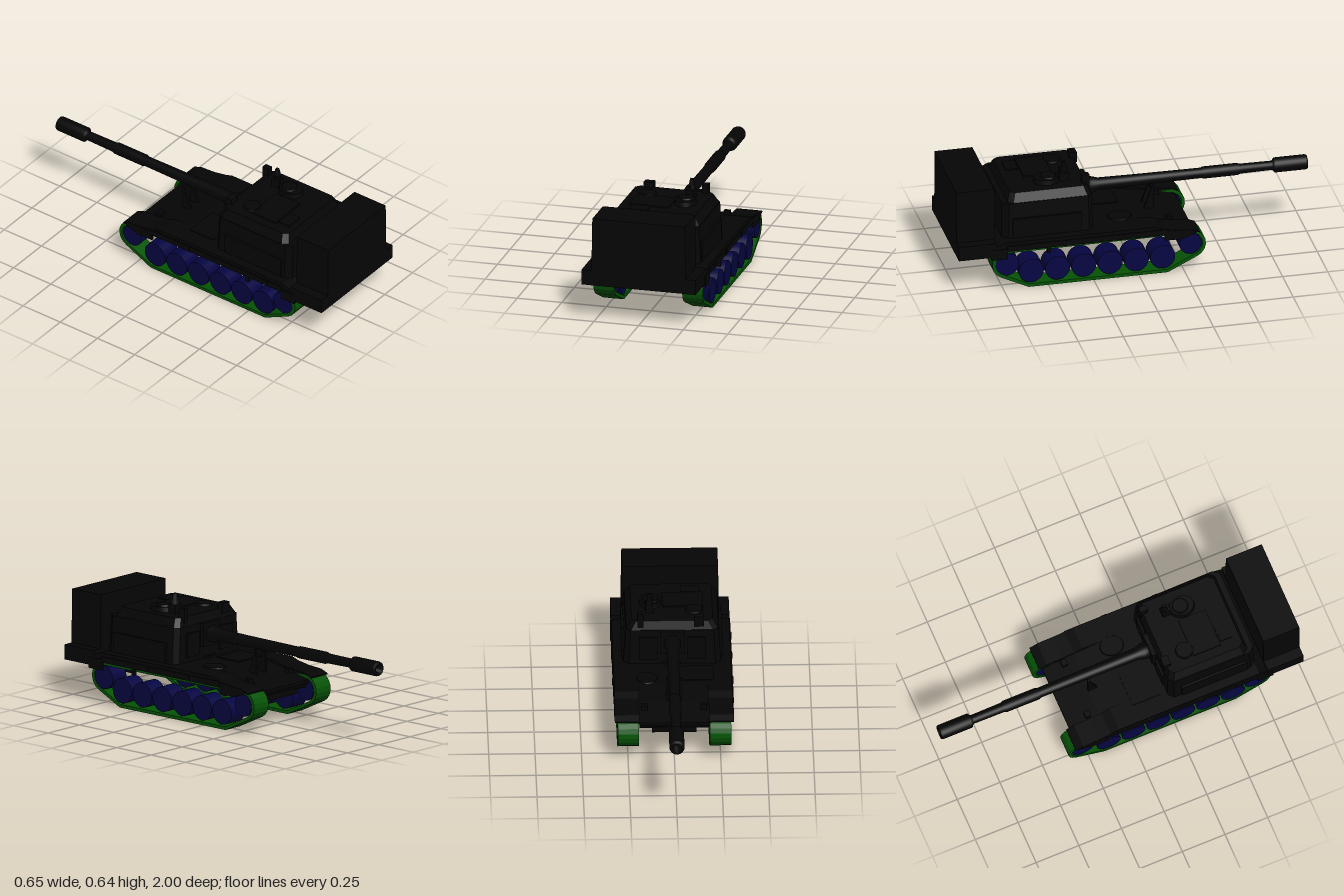
import * as THREE from 'three';

const mat = (name, color) => new THREE.MeshStandardMaterial({ name, color, side: THREE.DoubleSide });

export function createModel() {
  const armour = mat('black armour', 0x050505);
  const green = mat('track green', 0x055305);
  const blue = mat('wheel blue', 0x050542);
  const root = new THREE.Group();
  root.name = 'trackedGun';

  const add = (name, geo, m = armour, x = 0, y = 0, z = 0) => {
    const mesh = new THREE.Mesh(geo, m);
    mesh.name = name;
    mesh.position.set(x, y, z);
    root.add(mesh);
    return mesh;
  };
  const box = (name, w, h, d, x, y, z) => add(name, new THREE.BoxGeometry(w, h, d), armour, x, y, z);
  const points = (pts) => pts.map(([a, b]) => new THREE.Vector2(a, b));
  // side profile of [z, y] points, extruded across x
  const prism = (shape, width, x = 0) =>
    new THREE.ExtrudeGeometry(shape, { depth: width, bevelEnabled: false })
      .rotateY(-Math.PI / 2).translate(x + width / 2, 0, 0);
  const plate = (name, pts, width, x = 0) => add(name, prism(new THREE.Shape(points(pts)), width, x));
  // half plan of [x, z] points, mirrored and raised from y0 to y1, with the top drawn in
  const block = (half, y0, y1, taperX = 1, taperZ = 1, midZ = 0) => {
    const pts = [...half, ...half.slice().reverse().map(([x, z]) => [-x, z])].map(([x, z]) => [x, midZ - z]);
    const geo = new THREE.ExtrudeGeometry(new THREE.Shape(points(pts)), { depth: y1 - y0, bevelEnabled: false })
      .rotateX(-Math.PI / 2);
    const p = geo.attributes.position;
    for (let i = 0; i < p.count; i++) {
      const t = p.getY(i) / (y1 - y0);
      p.setXYZ(i, p.getX(i) * (1 + (taperX - 1) * t), p.getY(i) + y0, p.getZ(i) * (1 + (taperZ - 1) * t) + midZ);
    }
    geo.computeVertexNormals();
    return geo;
  };

  // Tracks: hollow belts rounded about the end wheels
  const beltLoop = (inset) => {
    const pts = [[-0.16 + inset * 0.25, inset], [0.61 - inset * 0.25, inset]];
    for (const [cz, cy, from, to] of [[0.728, 0.15, -63, 90], [-0.287, 0.155, 90, 243]])
      for (let i = 0; i <= 8; i++) {
        const a = THREE.MathUtils.degToRad(from + (to - from) * i / 8);
        pts.push([cz + (0.084 - inset) * Math.cos(a), cy + (0.084 - inset) * Math.sin(a)]);
      }
    return points(pts);
  };
  const wheels = [[0.728, 0.147, 0.065], [-0.286, 0.156, 0.061]];
  for (let i = 0; i < 6; i++) wheels.push([0.595 - i * 0.1455, 0.094, 0.069]);
  for (const s of [-1, 1]) {
    const belt = new THREE.Shape(beltLoop(0));
    belt.holes.push(new THREE.Path(beltLoop(0.018)));
    add('track', prism(belt, 0.115, s * 0.2485), green);
    for (const [z, y, r] of wheels)
      add('roadWheel', new THREE.CylinderGeometry(r, r, 0.109, 24).rotateZ(Math.PI / 2), blue, s * 0.2485, y, z);
  }

  // Hull: wide deck, sloping nose, shallow floor
  plate('hullDeck', [[0.79, 0.235], [0.79, 0.268], [0.74, 0.285], [0.02, 0.285], [0.02, 0.235]], 0.636);
  plate('glacis', [[0.02, 0.2], [0.02, 0.285], [-0.14, 0.258], [-0.315, 0.215], [-0.315, 0.2],
    [-0.29, 0.17], [-0.25, 0.165], [-0.2, 0.2]], 0.376);
  plate('hullFloor', [[0.77, 0.19], [0.77, 0.24], [0.02, 0.24], [0.02, 0.205], [0.68, 0.205]], 0.376);
  plate('rearBelly', [[0.78, 0.165], [0.78, 0.21], [0.66, 0.21], [0.69, 0.165]], 0.36);
  box('rearKeel', 0.25, 0.03, 0.07, 0, 0.16, 0.73);
  box('noseKeel', 0.24, 0.03, 0.06, 0, 0.165, -0.27);
  for (const s of [-1, 1]) {
    plate('frontSponson', [[0.02, 0.235], [0.02, 0.285], [-0.08, 0.285], [-0.14, 0.264], [-0.14, 0.235]], 0.132, s * 0.252);
    plate('frontFender', [[-0.13, 0.236], [-0.13, 0.268], [-0.2, 0.256], [-0.29, 0.25], [-0.335, 0.232],
      [-0.335, 0.226], [-0.3, 0.24]], 0.132, s * 0.254);
    plate('fenderSkirt', [[-0.14, 0.2], [-0.14, 0.255], [-0.28, 0.25], [-0.32, 0.232], [-0.24, 0.198]], 0.014, s * 0.315);
    box('rearSkirt', 0.02, 0.06, 0.09, s * 0.314, 0.22, 0.775);
    box('sideRail', 0.012, 0.032, 0.86, s * 0.318, 0.25, 0.3);
    for (const z of [0.62, 0.4, 0.1]) box('sideBracket', 0.012, 0.03, 0.03, s * 0.321, 0.25, z);
    box('sideStep', 0.02, 0.04, 0.02, s * 0.312, 0.22, 0.5);
    box('headlamp', 0.035, 0.03, 0.03, s * 0.16, 0.252, -0.2);
  }
  // Deck fittings
  const driver = add('driverHatch', new THREE.CylinderGeometry(0.055, 0.06, 0.012, 20), armour, 0.14, 0.285, 0.07);
  driver.scale.z = 1.15;
  box('enginePanel', 0.2, 0.012, 0.16, -0.12, 0.284, 0.12);

  // Barrel rest on the nose
  for (const s of [-1, 1])
    plate('barrelRest', [[-0.085, 0.25], [-0.138, 0.395], [-0.144, 0.395], [-0.144, 0.24]], 0.014, s * 0.035);
  box('barrelRestBar', 0.084, 0.02, 0.014, 0, 0.385, -0.135);

  // Turret: tapered body with full front corners, sloped roof and side bins
  add('turretBody', block([[0.235, 0.24], [0.264, 0.265], [0.268, 0.71], [0.24, 0.745]], 0.28, 0.485, 0.95, 0.99, 0.49));
  add('turretRoof', block([[0.222, 0.245], [0.248, 0.27], [0.25, 0.68], [0.225, 0.71]], 0.484, 0.532, 0.88, 0.92, 0.48));
  add('turretRing', new THREE.CylinderGeometry(0.24, 0.24, 0.02, 40), armour, 0, 0.286, 0.47);
  for (const s of [-1, 1]) {
    box('turretBin', 0.03, 0.11, 0.38, s * 0.257, 0.343, 0.5);
    box('turretCheek', 0.1, 0.13, 0.02, s * 0.13, 0.38, 0.24);
  }
  box('gunnerSight', 0.032, 0.08, 0.042, 0.172, 0.539, 0.268);
  box('loaderSight', 0.055, 0.06, 0.04, -0.145, 0.533, 0.265);
  box('roofPlate', 0.22, 0.014, 0.16, -0.06, 0.533, 0.5);
  box('roofVent', 0.1, 0.012, 0.07, -0.1, 0.533, 0.62);

  // Cupola, mast and hatches
  const cupola = add('cupola', new THREE.CylinderGeometry(0.056, 0.062, 0.035, 24), armour, 0.115, 0.541, 0.47);
  cupola.scale.z = 1.2;
  add('cupolaHatch', new THREE.CylinderGeometry(0.04, 0.046, 0.012, 20), armour, 0.115, 0.561, 0.46);
  box('mastBase', 0.045, 0.065, 0.05, 0.12, 0.548, 0.378);
  box('mastStep', 0.02, 0.06, 0.03, 0.108, 0.572, 0.385);
  add('mast', new THREE.CylinderGeometry(0.011, 0.026, 0.07, 4).rotateY(Math.PI / 4), armour, 0.122, 0.606, 0.373);
  add('loaderHatch', new THREE.CylinderGeometry(0.045, 0.05, 0.016, 20), armour, -0.12, 0.537, 0.385);

  // Gun: turned profile of [radius, distance along the barrel]
  const gun = [[0, 0], [0.046, 0], [0.046, 0.05], [0.034, 0.09], [0.031, 0.3], [0.028, 0.66], [0.033, 0.67],
    [0.033, 0.86], [0.027, 0.875], [0.025, 1.05], [0.027, 1.055], [0.041, 1.065], [0.041, 1.235], [0.038, 1.245],
    [0.022, 1.245], [0.018, 1.2], [0, 1.2]];
  const barrel = new THREE.LatheGeometry(points(gun), 24).rotateX(-Math.PI / 2);
  add('gunBarrel', barrel, armour, 0, 0.42, 0.245);
  box('mantlet', 0.13, 0.13, 0.03, 0, 0.42, 0.235);

  // Rear: tall stowage container on a wide shelf
  add('rearContainer', block([[0.264, 0.79], [0.264, 1]], 0.285, 0.587, 0.98, 1, 0.895));
  box('rearShelf', 0.64, 0.083, 0.21, 0, 0.2475, 0.895);
  return root;
}
